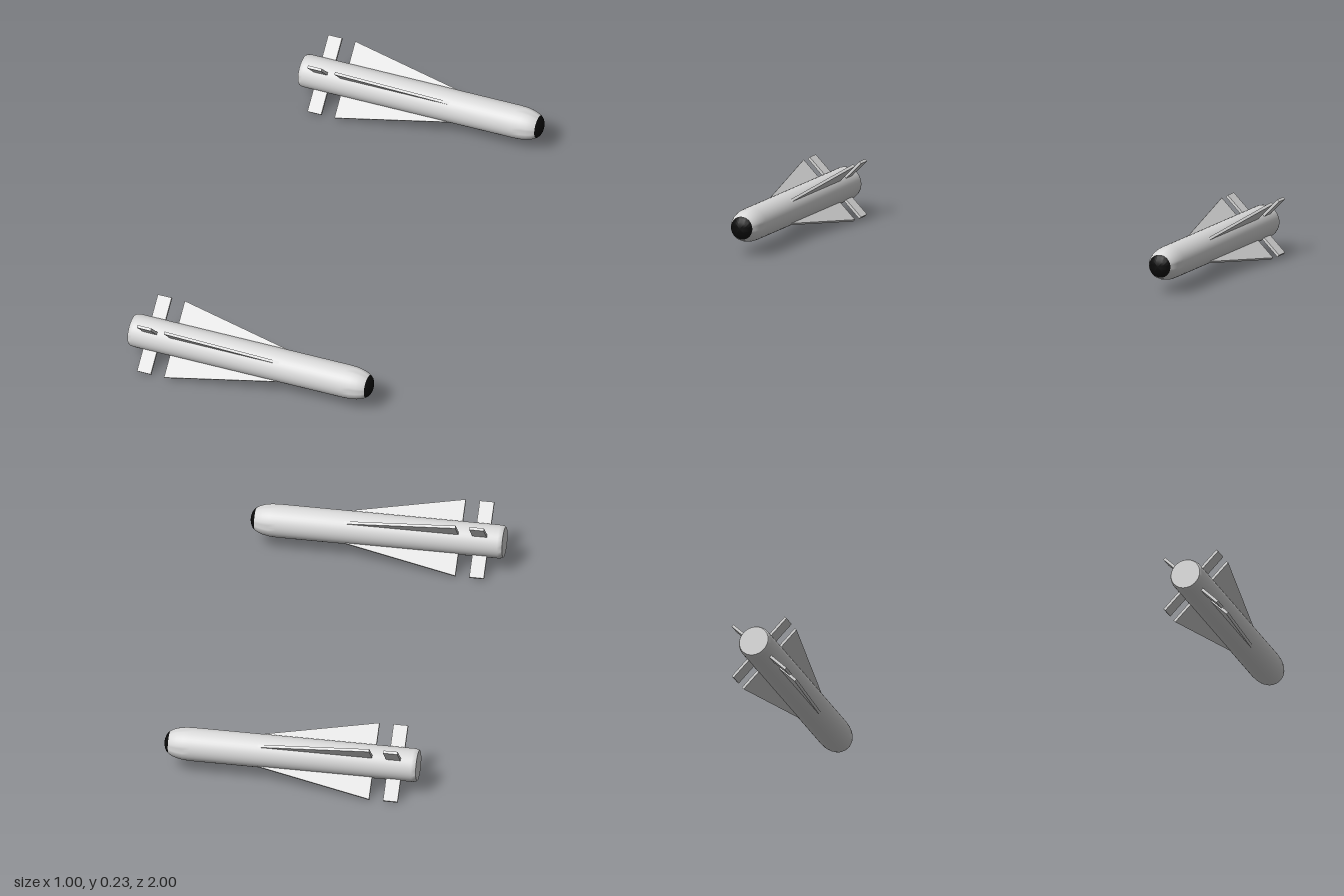
import * as THREE from 'three';
import { toCreasedNormals } from 'three/addons/utils/BufferGeometryUtils.js';

const THICK = 0.011;

// Turned solid lying along x; points are [x, radius] from tail to nose
function turned(points) {
  const g = new THREE.LatheGeometry(points.map(([x, r]) => new THREE.Vector2(r, x)), 40);
  g.rotateZ(-Math.PI / 2);
  return toCreasedNormals(g, 0.7);
}

// Flat plate; points are [x, distance from the axis]
function plate(points) {
  const shape = new THREE.Shape(points.map(([x, r]) => new THREE.Vector2(x, r)));
  const g = new THREE.ExtrudeGeometry(shape, { depth: THICK, bevelEnabled: false });
  return g.translate(0, 0, -THICK / 2);
}

export function createModel() {
  const paint = new THREE.MeshStandardMaterial({ color: 0xd9d9d9 });
  paint.name = 'light grey paint';
  const black = new THREE.MeshStandardMaterial({ color: 0x0a0a0a });
  black.name = 'black nose';

  // Closed tail, straight tube, rounded shoulder
  const body = turned([
    [-0.498, 0], [-0.498, 0.059], [-0.492, 0.063], [-0.48, 0.065], [0.39, 0.065],
    [0.42, 0.0635], [0.445, 0.059], [0.465, 0.0525], [0.478, 0.045],
  ]);
  // Blunt dark tip
  const tip = turned([[0.478, 0.045], [0.487, 0.037], [0.493, 0.026], [0.497, 0.013], [0.498, 0]]);
  const wing = plate([[-0.325, 0.04], [0.125, 0.04], [0.125, 0.065], [-0.325, 0.154]]);
  const tailFin = plate([[-0.437, 0.04], [-0.38, 0.04], [-0.38, 0.154], [-0.437, 0.154]]);

  const model = new THREE.Group();
  model.name = 'missilePair';
  for (const side of [1, -1]) {
    const missile = new THREE.Group();
    missile.name = side > 0 ? 'frontMissile' : 'rearMissile';
    const add = (name, geometry, material, angle = 0) => {
      const mesh = new THREE.Mesh(geometry, material);
      mesh.name = name;
      mesh.rotation.x = angle;
      missile.add(mesh);
    };
    add('body', body, paint);
    add('noseTip', tip, black);
    // Four wings and four tail fins in an X
    for (let i = 0; i < 4; i++) {
      const angle = Math.PI / 4 + i * Math.PI / 2;
      add('wing', wing, paint, angle);
      add('tailFin', tailFin, paint, angle);
    }
    missile.position.set(0, 0.114, side * 0.887);
    model.add(missile);
  }
  return model;
}
